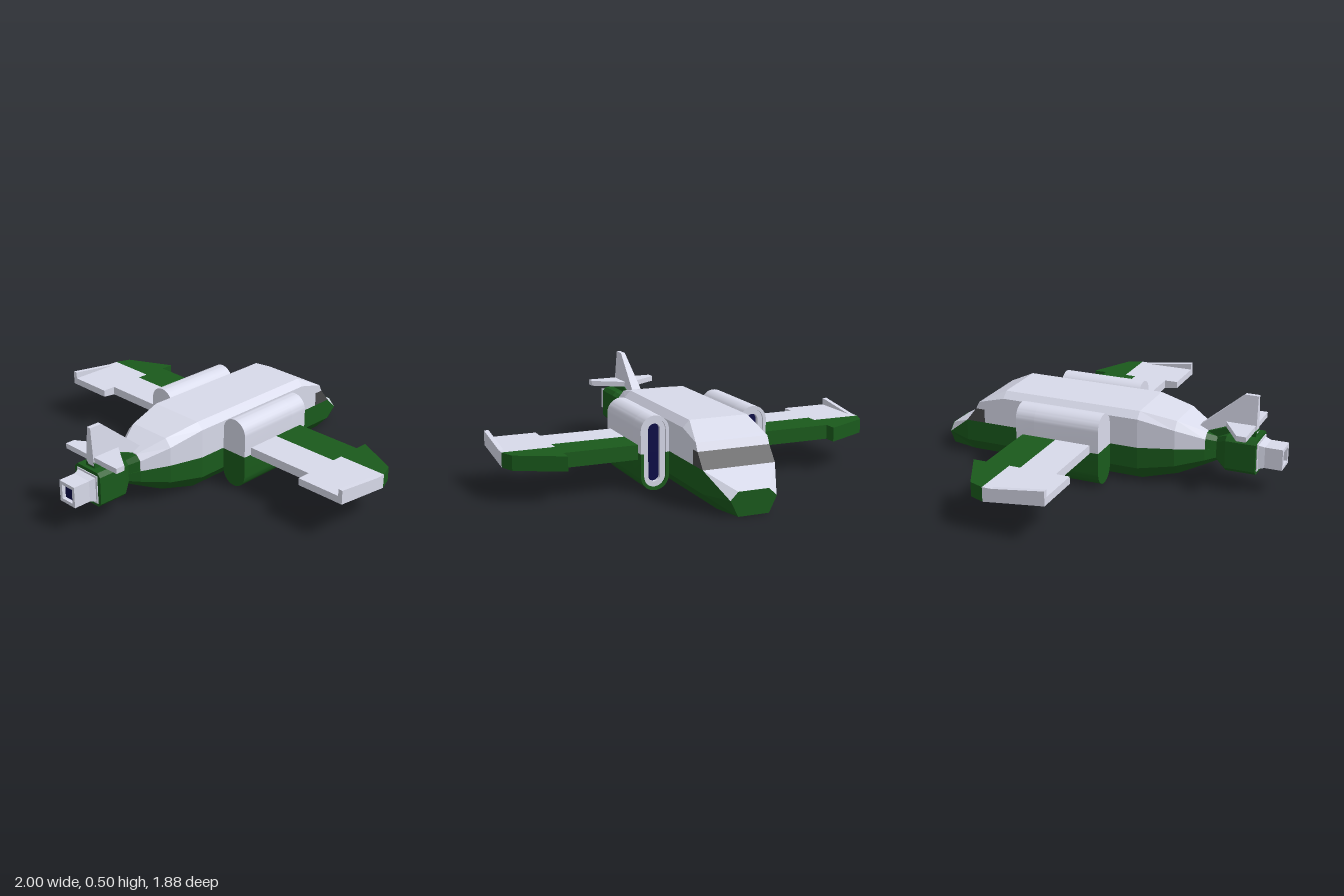
import * as THREE from 'three';
import { toCreasedNormals } from 'three/addons/utils/BufferGeometryUtils.js';

const mat = (color) => new THREE.MeshStandardMaterial({ color, flatShading: true, side: THREE.DoubleSide });

export function createModel() {
  const root = new THREE.Group();
  const grey = mat(0xd8daea), green = mat(0x1a5a1c), dark = mat(0x48484a), navy = mat(0x0c0c48);
  const smooth = new Map([grey, green, navy].map((m) => {
    const c = m.clone();
    c.flatShading = false;
    return [m, c];
  }));

  const add = (name, geo, m, parent = root) => {
    const mesh = new THREE.Mesh(geo, m);
    mesh.name = name;
    parent.add(mesh);
    return mesh;
  };

  // Skin between rings of [x, y] (counter-clockwise from +z), ordered by rising z, capped at both ends
  const loft = (sections) => {
    const pos = [];
    const tri = (...p) => p.forEach((v) => pos.push(...v));
    const rings = sections.map(([z, pts]) => pts.map(([x, y]) => [x, y, z]));
    const n = rings[0].length, last = rings[rings.length - 1];
    for (let k = 0; k + 1 < rings.length; k++) {
      for (let i = 0; i < n; i++) {
        const j = (i + 1) % n, a = rings[k], b = rings[k + 1];
        tri(a[i], a[j], b[j]);
        tri(a[i], b[j], b[i]);
      }
    }
    for (let i = 1; i + 1 < n; i++) {
      tri(rings[0][0], rings[0][i + 1], rings[0][i]);
      tri(last[0], last[i], last[i + 1]);
    }
    const g = new THREE.BufferGeometry();
    g.setAttribute('position', new THREE.Float32BufferAttribute(pos, 3));
    g.computeVertexNormals();
    return g;
  };
  const poly = (pts) => new THREE.Shape(pts.map(([x, y]) => new THREE.Vector2(x, y)));
  const extrude = (shape, depth) =>
    new THREE.ExtrudeGeometry(shape, { depth, bevelEnabled: false, curveSegments: 14 });

  // Fuselage: upper = half width, split height, shoulder height, roof half width, roof height
  const upper = (z, w, s, c, t, T) => [z, [[w, s], [w, c], [t, T], [-t, T], [-w, c], [-w, s]]];
  // lower = half width, split height, chine height, keel half width, keel height
  const lower = (z, w, s, b, k, B) => [z, [[-w, s], [-w, b], [-k, B], [k, B], [w, b], [w, s]]];
  add('upperFuselage', loft([
    upper(-0.73, 0.19, 0.27, 0.27, 0.19, 0.27),
    upper(-0.71, 0.19, 0.27, 0.31, 0.19, 0.31),
    upper(-0.68, 0.19, 0.27, 0.318, 0.183, 0.325),
    upper(-0.68, 0.19, 0.195, 0.318, 0.183, 0.325),
    upper(-0.56, 0.19, 0.195, 0.35, 0.155, 0.385),
    upper(0.21, 0.19, 0.195, 0.35, 0.155, 0.385),
    upper(0.4, 0.155, 0.205, 0.305, 0.12, 0.347),
    upper(0.54, 0.085, 0.2, 0.255, 0.055, 0.285),
  ]), grey);
  add('lowerFuselage', loft([
    lower(-0.94, 0.12, 0.08, 0.08, 0.08, 0),
    lower(-0.79, 0.19, 0.195, 0.08, 0.115, 0),
    lower(0.21, 0.19, 0.195, 0.08, 0.115, 0),
    lower(0.4, 0.155, 0.205, 0.11, 0.085, 0.045),
    lower(0.54, 0.085, 0.2, 0.14, 0.05, 0.108),
    lower(0.59, 0.05, 0.19, 0.15, 0.03, 0.13),
  ]), green);
  add('noseTop', loft([
    upper(-0.94, 0.12, 0.08, 0.08, 0.08, 0.12),
    upper(-0.79, 0.19, 0.195, 0.195, 0.19, 0.195),
  ]), grey);
  const noseRing = [[0.12, 0.08], [0.08, 0.12], [-0.08, 0.12], [-0.12, 0.08], [-0.08, 0], [0.08, 0]];
  add('noseCap', loft([[-0.942, noseRing], [-0.94, noseRing]]), green);
  add('cockpitWindow', loft([
    upper(-0.79, 0.19, 0.195, 0.195, 0.19, 0.195),
    upper(-0.73, 0.19, 0.195, 0.27, 0.19, 0.27),
    upper(-0.68, 0.19, 0.195, 0.27, 0.19, 0.27),
  ]), dark);

  // Tail engine: pinched neck, chamfered housing, square nozzle
  const oct = (z, w, y0, y1, c) => [z, [
    [w, y0 + c], [w, y1 - c], [w - c, y1], [c - w, y1],
    [-w, y1 - c], [-w, y0 + c], [c - w, y0], [w - c, y0],
  ]];
  add('engineHousing', loft([
    oct(0.53, 0.088, 0.125, 0.285, 0.025),
    oct(0.59, 0.05, 0.13, 0.26, 0.02),
    oct(0.65, 0.095, 0.102, 0.288, 0.02),
    oct(0.81, 0.095, 0.102, 0.288, 0.02),
  ]), green);
  const square = (z, w) => [z, [[w, 0.195 - w], [w, 0.195 + w], [-w, 0.195 + w], [-w, 0.195 - w]]];
  add('nozzlePlate', loft([square(0.8, 0.075), square(0.815, 0.075)]), grey);
  add('nozzleNeck', loft([square(0.81, 0.066), square(0.87, 0.05)]), grey);
  const frame = poly(square(0, 0.056)[1]);
  frame.holes.push(poly(square(0, 0.038)[1]));
  add('nozzle', extrude(frame, 0.1).translate(0, 0, 0.84), grey);
  add('nozzleCore', loft([square(0.85, 0.038), square(0.92, 0.038)]), navy);

  // Tail fin, tapered in thickness towards its tip, and tailplane
  const fin = extrude(poly([[0.79, 0.5], [0.72, 0.5], [0.49, 0.305], [0.49, 0.28], [0.79, 0.3]]), 1);
  const fp = fin.attributes.position;
  for (let i = 0; i < fp.count; i++) {
    const y = fp.getY(i), half = THREE.MathUtils.mapLinear(y, 0.28, 0.5, 0.03, 0.012);
    fp.setXYZ(i, (0.5 - fp.getZ(i)) * 2 * half, y, fp.getX(i));
  }
  fin.computeVertexNormals();
  add('tailFin', fin, grey);
  add('finMount', loft([
    oct(0.53, 0.032, 0.25, 0.285, 0.005),
    oct(0.63, 0.032, 0.25, 0.32, 0.005),
    oct(0.79, 0.032, 0.25, 0.32, 0.005),
  ]), green);
  add('tailplane', extrude(poly([
    [0.025, 0.63], [0.19, 0.735], [0.19, 0.785], [-0.19, 0.785], [-0.19, 0.735], [-0.025, 0.63],
  ]), 0.028).rotateX(Math.PI / 2).translate(0, 0.346, 0), grey);

  // Wing panel: planform of [x, z], flat on top, underside rising to the trailing edge
  const panel = (s, pts, topAt = () => 0.235) => {
    const g = extrude(poly(pts.map(([x, z]) => [x * s, z])), 1).rotateX(Math.PI / 2);
    const p = g.attributes.position;
    for (let i = 0; i < p.count; i++) {
      const z = p.getZ(i);
      const bottom = 0.16 + 0.037 * Math.max(0, (z + 0.24) / 0.325);
      p.setY(i, p.getY(i) > -0.5 ? topAt(z) : bottom);
    }
    g.computeVertexNormals();
    return g;
  };
  // Half of an upright capsule outline, solid or hollow, along z
  const capsuleHalf = (r, ri, z0, z1, flip) => {
    const s = new THREE.Shape();
    s.moveTo(r, 0);
    s.lineTo(r, 0.115);
    s.absarc(0, 0.115, r, 0, Math.PI, false);
    s.lineTo(-r, 0);
    if (ri) {
      s.lineTo(-ri, 0);
      s.lineTo(-ri, 0.115);
      s.absarc(0, 0.115, ri, Math.PI, 0, true);
      s.lineTo(ri, 0);
    }
    const g = extrude(s, z1 - z0).translate(0, 0, z0);
    if (flip) g.rotateZ(Math.PI);
    return toCreasedNormals(g, 0.5);
  };

  for (const [side, s] of [['left', 1], ['right', -1]]) {
    const wing = new THREE.Group();
    wing.name = side + 'Wing';
    root.add(wing);
    add('innerLeadingEdge', panel(s, [[0.3, -0.368], [0.73, -0.368], [0.73, -0.18], [0.3, -0.18]]), green, wing);
    add('innerPanel', panel(s, [[0.3, -0.18], [0.73, -0.18], [0.73, 0.012], [0.3, 0.012]]), grey, wing);
    add('outerLeadingEdge', panel(s, [[0.73, -0.438], [0.97, -0.318], [1, -0.24], [0.73, -0.24]]), green, wing);
    add('outerPanel', panel(s, [[0.73, -0.24], [1, -0.24], [1, 0.085], [0.73, 0.085]]), grey, wing);
    add('winglet', panel(s, [[0.976, -0.19], [1, -0.19], [1, 0.085], [0.976, 0.085]],
      (z) => 0.235 + 0.037 * (z + 0.19) / 0.275), grey, wing);

    // Side nacelle with a recessed slot intake facing the nose
    const nacelle = new THREE.Group();
    nacelle.name = side + 'Nacelle';
    nacelle.position.set(0.27 * s, 0.195, 0);
    root.add(nacelle);
    for (const flip of [false, true]) {
      const half = flip ? 'lower' : 'upper';
      const shell = smooth.get(flip ? green : grey);
      add(half + 'IntakeLip', capsuleHalf(0.075, 0.058, -0.405, -0.3, flip), shell, nacelle);
      add(half + 'Shell', capsuleHalf(0.075, 0, -0.3, 0.06, flip), shell, nacelle);
      add(half + 'IntakeRing', capsuleHalf(0.058, 0.032, -0.395, -0.3, flip), smooth.get(grey), nacelle);
      add(half + 'IntakeSlot', capsuleHalf(0.032, 0, -0.375, -0.3, flip), smooth.get(navy), nacelle);
    }
  }
  return root;
}
